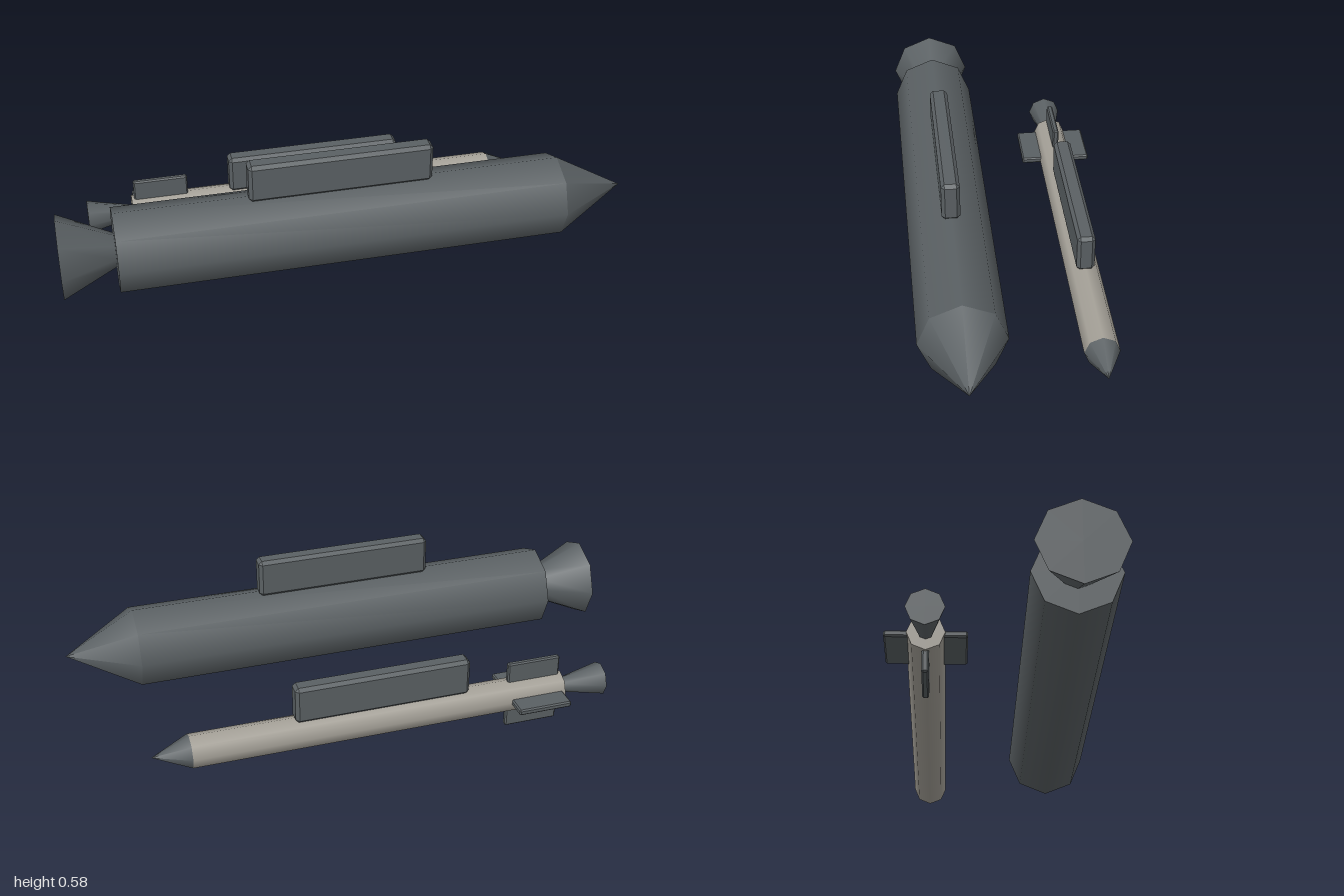
import * as THREE from 'three';
import { ConvexGeometry } from 'three/addons/geometries/ConvexGeometry.js';

const darkGrey = new THREE.MeshStandardMaterial({ color: 0x5a6063 });
darkGrey.name = 'dark grey';
const paleGrey = new THREE.MeshStandardMaterial({ color: 0xa5a198 });
paleGrey.name = 'pale grey';

// Eight-sided tapered section lying along x, from x0 to x1
function section(name, x0, r0, x1, r1, material) {
  const geometry = new THREE.CylinderGeometry(r1, r0, x1 - x0, 8);
  geometry.rotateZ(-Math.PI / 2);
  const mesh = new THREE.Mesh(geometry, material);
  mesh.name = name;
  mesh.position.x = (x0 + x1) / 2;
  return mesh;
}

// Block with every edge chamfered by c
function chamferedBox(name, w, h, d, c) {
  const half = [w / 2, h / 2, d / 2];
  const points = [];
  for (const sx of [-1, 1]) for (const sy of [-1, 1]) for (const sz of [-1, 1])
    for (let full = 0; full < 3; full++) {
      const p = [sx, sy, sz].map((s, i) => s * (half[i] - (i === full ? 0 : c)));
      points.push(new THREE.Vector3(...p));
    }
  const mesh = new THREE.Mesh(new ConvexGeometry(points), darkGrey);
  mesh.name = name;
  return mesh;
}

// Body, nose, nozzle and mounting block, centred on the missile's axis
function missile(name, { tail, back, front, tip, r, throat, material }) {
  const group = new THREE.Group();
  group.name = name;
  group.add(
    section('body', back, r, front, r, material),
    section('noseCone', front, r, tip, 0, darkGrey),
    section('nozzle', tail, r, back, throat, darkGrey)
  );
  const pylon = chamferedBox('pylon', 0.64, 0.14, 0.064, 0.012);
  pylon.position.set(-0.034, r + 0.06, 0);
  group.add(pylon);
  return group;
}

export function createModel() {
  const model = new THREE.Group();
  model.name = 'missilePair';

  const large = missile('largeMissile', {
    tail: -1, back: -0.813, front: 0.75, tip: 1, r: 0.147, throat: 0.059, material: darkGrey
  });
  large.position.set(0, 0.3, 0.226);

  const small = missile('smallMissile', {
    tail: -0.885, back: -0.72, front: 0.657, tip: 0.79, r: 0.061, throat: 0.025, material: paleGrey
  });
  small.position.set(0, 0.132, -0.241);

  // Crossed tail fins, each plate passing through the small body
  for (const [name, angle] of [['sideFins', 0], ['verticalFins', Math.PI / 2]]) {
    const fins = chamferedBox(name, 0.2, 0.022, 0.263, 0.005);
    fins.position.x = -0.61;
    fins.rotation.x = angle;
    small.add(fins);
  }

  model.add(large, small);
  return model;
}
